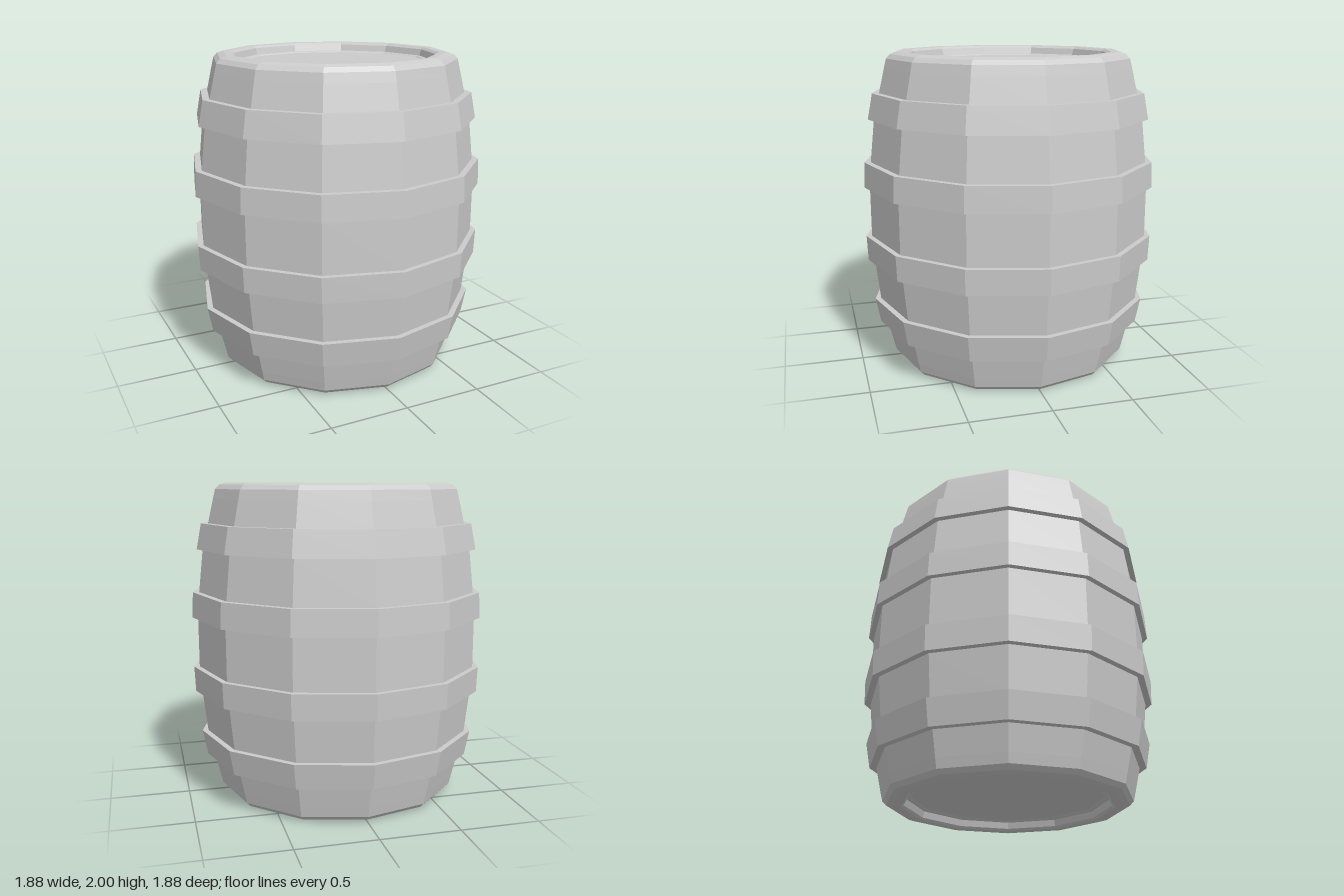
import * as THREE from 'three';

const SIDES = 12;
const material = new THREE.MeshStandardMaterial({ color: 0xcccccc, flatShading: true });

// Faceted lathe from [radius, y] pairs running from the bottom up the outside
function turned(name, profile) {
  const points = profile.map(([r, y]) => new THREE.Vector2(r, y));
  const geometry = new THREE.LatheGeometry(points, SIDES).toNonIndexed();
  geometry.computeVertexNormals();
  const mesh = new THREE.Mesh(geometry, material);
  mesh.name = name;
  return mesh;
}

export function createModel() {
  const barrel = new THREE.Group();
  barrel.name = 'barrel';

  // Upper half of the staves, from the belly over the rounded rim to the recess
  const upperBody = [
    [0.905, 1.16], [0.893, 1.32], [0.863, 1.59], [0.825, 1.75], [0.79, 1.9],
    [0.775, 1.96], [0.75, 1.987], [0.71, 2], [0.66, 1.998], [0.642, 1.985], [0.63, 1.945],
  ];
  const mirrored = (p) => p.map(([r, y]) => [r, 2 - y]).reverse();
  barrel.add(turned('staves', [...mirrored(upperBody), ...upperBody]));

  // Sunken heads closing both ends, with a small step around the edge
  const upperHead = [[0.632, 1.945], [0.612, 1.943], [0.598, 1.935], [0, 1.935]];
  barrel.add(turned('topHead', upperHead));
  barrel.add(turned('bottomHead', mirrored(upperHead)));

  // Hoops: the edge nearer the belly is the wider one
  const hoops = [
    { name: 'InnerHoop', y0: 1.16, r0: 0.94, y1: 1.32, r1: 0.933 },
    { name: 'OuterHoop', y0: 1.59, r0: 0.9, y1: 1.75, r1: 0.869 },
  ];
  for (const { name, y0, r0, y1, r1 } of hoops) {
    const band = [[r0 - 0.07, y0], [r0, y0], [r1, y1], [r1 - 0.07, y1]];
    barrel.add(turned('upper' + name, band));
    barrel.add(turned('lower' + name, mirrored(band)));
  }
  return barrel;
}
